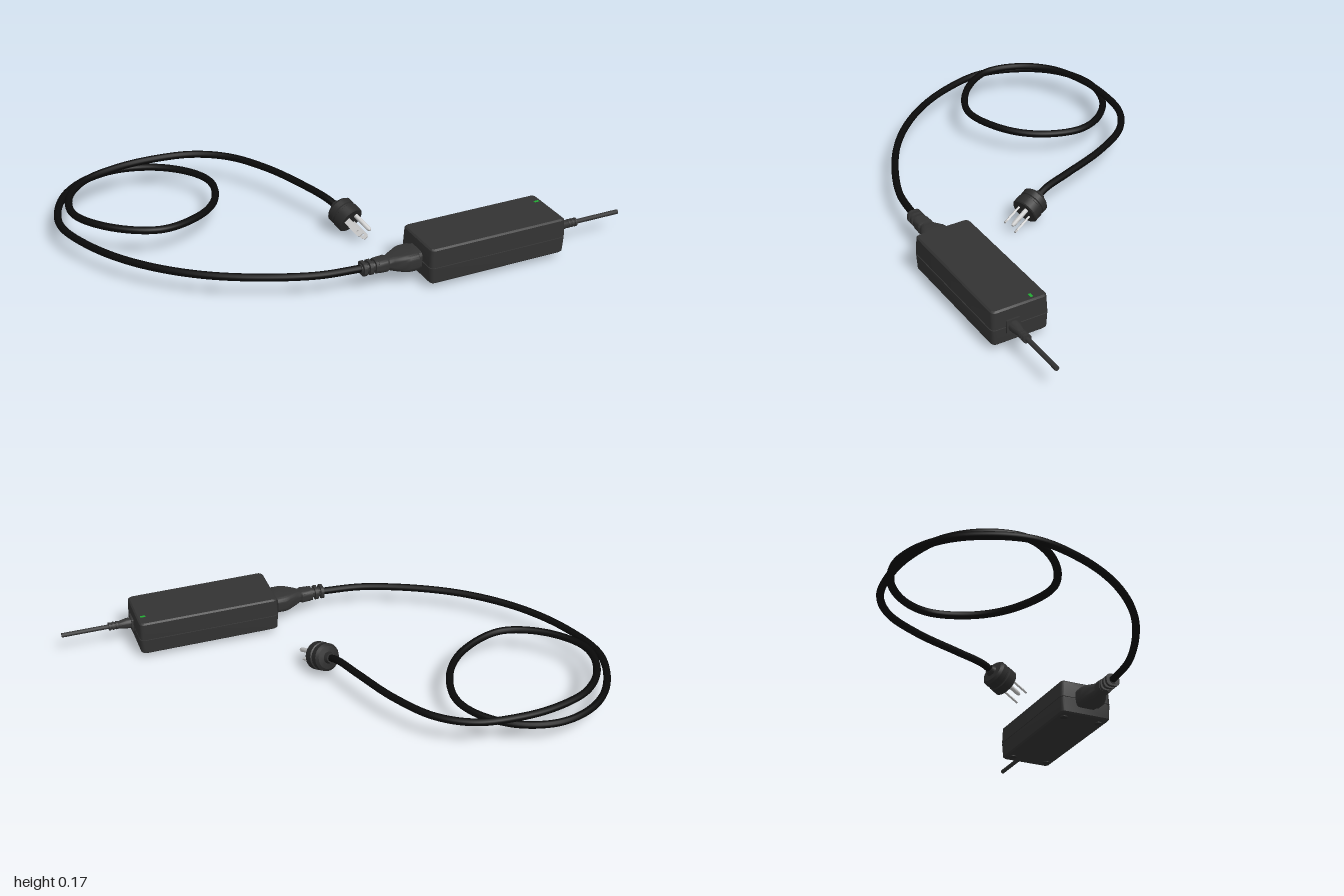
import * as THREE from 'three';
import { toCreasedNormals } from 'three/addons/utils/BufferGeometryUtils.js';

const mat = (color) => new THREE.MeshStandardMaterial({ color });
const caseMat = mat(0x333333), rubber = mat(0x2a2a2a), cableMat = mat(0x0a0a0a);
const metal = mat(0xcccccc), green = mat(0x22aa33);

function add(parent, name, geometry, material, x = 0, y = 0, z = 0) {
  const mesh = new THREE.Mesh(geometry, material);
  mesh.name = name;
  mesh.position.set(x, y, z);
  parent.add(mesh);
  return mesh;
}

// Closed loft along +x through rounded rectangles [x, halfY, halfZ, cornerRadius]
function loft(sections, steps = 5) {
  const pos = [], index = [], n = 4 * (steps + 1);
  for (const [x, hy, hz, r] of sections) {
    for (let c = 0; c < 4; c++) {
      const sy = c === 0 || c === 3 ? 1 : -1, sz = c < 2 ? 1 : -1;
      for (let k = 0; k <= steps; k++) {
        const a = (c + k / steps) * Math.PI / 2;
        pos.push(x, sy * (hy - r) + r * Math.cos(a), sz * (hz - r) + r * Math.sin(a));
      }
    }
  }
  const last = sections.length - 1, c0 = pos.length / 3;
  pos.push(sections[0][0], 0, 0, sections[last][0], 0, 0);
  for (let j = 0; j < n; j++) {
    const k = (j + 1) % n;
    for (let i = 0; i < last; i++) {
      const a = i * n + j, b = i * n + k;
      index.push(a, b, a + n, b, b + n, a + n);
    }
    index.push(c0, k, j, c0 + 1, last * n + j, last * n + k);
  }
  const g = new THREE.BufferGeometry();
  g.setAttribute('position', new THREE.Float32BufferAttribute(pos, 3));
  g.setIndex(index);
  return toCreasedNormals(g, 0.6);
}

// Turned part along +z from [z, radius] pairs
function turned(profile, segments = 24) {
  const g = new THREE.LatheGeometry(profile.map(([z, r]) => new THREE.Vector2(r, z)), segments);
  return toCreasedNormals(g.rotateX(Math.PI / 2), 0.6);
}

function makePlug() {
  const plug = new THREE.Group();
  plug.name = 'wallPlug';
  add(plug, 'plugBody', turned([
    [-0.06, 0], [-0.06, 0.019], [-0.045, 0.024], [-0.042, 0.046], [-0.032, 0.056],
    [-0.01, 0.056], [-0.007, 0.052], [0.0, 0.052], [0.003, 0.057], [0.036, 0.057], [0.04, 0.053], [0.04, 0],
  ]), rubber);

  // Flat blade with a rounded tip and a hole
  const s = new THREE.Shape();
  s.moveTo(0, -0.013); s.lineTo(0.078, -0.013); s.lineTo(0.087, -0.007);
  s.lineTo(0.087, 0.007); s.lineTo(0.078, 0.013); s.lineTo(0, 0.013); s.closePath();
  const hole = new THREE.Path();
  hole.absarc(0.068, 0, 0.005, 0, Math.PI * 2, true);
  s.holes.push(hole);
  const blade = new THREE.ExtrudeGeometry(s, { depth: 0.007, bevelEnabled: false, curveSegments: 8 });
  blade.translate(0, 0, -0.0035).rotateY(-Math.PI / 2);
  for (const side of [-1, 1]) add(plug, 'blade', blade, metal, side * 0.027, -0.008, 0.038);
  add(plug, 'groundPin', turned([[0, 0.009], [0.08, 0.009], [0.089, 0.005], [0.09, 0]], 16), metal, 0, 0.027, 0.038);
  return plug;
}

export function createModel() {
  const model = new THREE.Group();

  // Power brick: lower and upper shells with a seam between them
  const brick = new THREE.Group();
  brick.name = 'powerBrick';
  brick.position.set(0.42, 0, 0.525);
  model.add(brick);
  const shell = loft([
    [0.032, 0.281, 0.106, 0.014], [0.038, 0.287, 0.112, 0.018], [0.098, 0.29, 0.115, 0.018],
    [0.099, 0.287, 0.112, 0.017], [0.102, 0.287, 0.112, 0.017],
    [0.103, 0.29, 0.115, 0.018], [0.169, 0.287, 0.112, 0.018], [0.175, 0.281, 0.106, 0.014],
  ]).rotateZ(Math.PI / 2);
  add(brick, 'brickCase', shell, caseMat);
  for (const x of [-0.24, 0.24]) for (const z of [-0.08, 0.08])
    add(brick, 'foot', new THREE.CylinderGeometry(0.016, 0.016, 0.006, 16), rubber, x, 0.031, z);
  add(brick, 'indicatorLight', new THREE.BoxGeometry(0.02, 0.003, 0.01), green, 0.262, 0.175, -0.055);

  // Thin output lead with its strain relief
  add(model, 'outputStrainRelief', loft([
    [0.705, 0.028, 0.028, 0.005], [0.717, 0.028, 0.028, 0.005], [0.717, 0.022, 0.022, 0.022],
    [0.735, 0.021, 0.021, 0.021], [0.765, 0.015, 0.015, 0.015], [0.808, 0.014, 0.014, 0.014],
  ]), caseMat, 0, 0.1, 0.557);
  for (let i = 0; i < 3; i++)
    add(model, 'outputReliefRib', new THREE.CylinderGeometry(0.017, 0.017, 0.007, 16).rotateZ(Math.PI / 2),
      caseMat, 0.774 + i * 0.015, 0.1, 0.557);
  add(model, 'outputLead', new THREE.CylinderGeometry(0.009, 0.009, 0.2, 12).rotateZ(Math.PI / 2), caseMat, 0.9, 0.1, 0.557);

  // Mains connector pushed into the brick, with a ribbed neck
  add(model, 'inletConnector', loft([
    [-0.1, 0.017, 0.017, 0.017], [-0.035, 0.019, 0.02, 0.018], [-0.035, 0.026, 0.031, 0.02],
    [0.0, 0.027, 0.032, 0.02], [0.008, 0.025, 0.027, 0.02], [0.025, 0.029, 0.035, 0.02],
    [0.06, 0.035, 0.052, 0.022], [0.08, 0.036, 0.058, 0.022], [0.115, 0.036, 0.058, 0.022],
    [0.12, 0.036, 0.048, 0.02], [0.14, 0.036, 0.048, 0.02],
  ]), caseMat, 0, 0.1, 0.525);
  for (let i = 0; i < 3; i++)
    add(model, 'neckRib', loft([[-0.006, 0.026, 0.029, 0.02], [0.007, 0.026, 0.029, 0.02]]),
      caseMat, -0.09 + i * 0.025, 0.1, 0.525);

  // Coiled mains cable
  const path = [
    [-0.08, 0.1, 0.525], [-0.28, 0.1, 0.495], [-0.6, 0.1, 0.34], [-0.81, 0.1, 0.145], [-0.935, 0.1, -0.07],
    [-0.982, 0.1, -0.28], [-0.905, 0.1, -0.485], [-0.79, 0.1, -0.59], [-0.64, 0.1, -0.63],
    [-0.48, 0.1, -0.585], [-0.365, 0.101, -0.475], [-0.328, 0.103, -0.36], [-0.375, 0.108, -0.2],
    [-0.48, 0.115, -0.09], [-0.66, 0.124, -0.03], [-0.825, 0.131, -0.11], [-0.925, 0.135, -0.26],
    [-0.9, 0.135, -0.41], [-0.8, 0.135, -0.525], [-0.64, 0.135, -0.582], [-0.48, 0.135, -0.592],
    [-0.32, 0.134, -0.565], [-0.195, 0.133, -0.48], [-0.095, 0.131, -0.32], [-0.02, 0.126, -0.12],
    [0.018, 0.118, 0.0], [0.04, 0.1, 0.06],
  ].map((p) => new THREE.Vector3(...p));
  add(model, 'mainsCable', new THREE.TubeGeometry(new THREE.CatmullRomCurve3(path), 260, 0.0145, 12), cableMat);

  // Wall plug, tipped forward and rolled about its own axis
  const plug = makePlug();
  plug.position.set(0.05, 0.085, 0.092);
  const tip = new THREE.Vector3(0.28, -0.38, 0.9).normalize();
  plug.quaternion.setFromUnitVectors(new THREE.Vector3(0, 0, 1), tip);
  plug.rotateZ(-Math.PI / 4);
  model.add(plug);

  return model;
}
